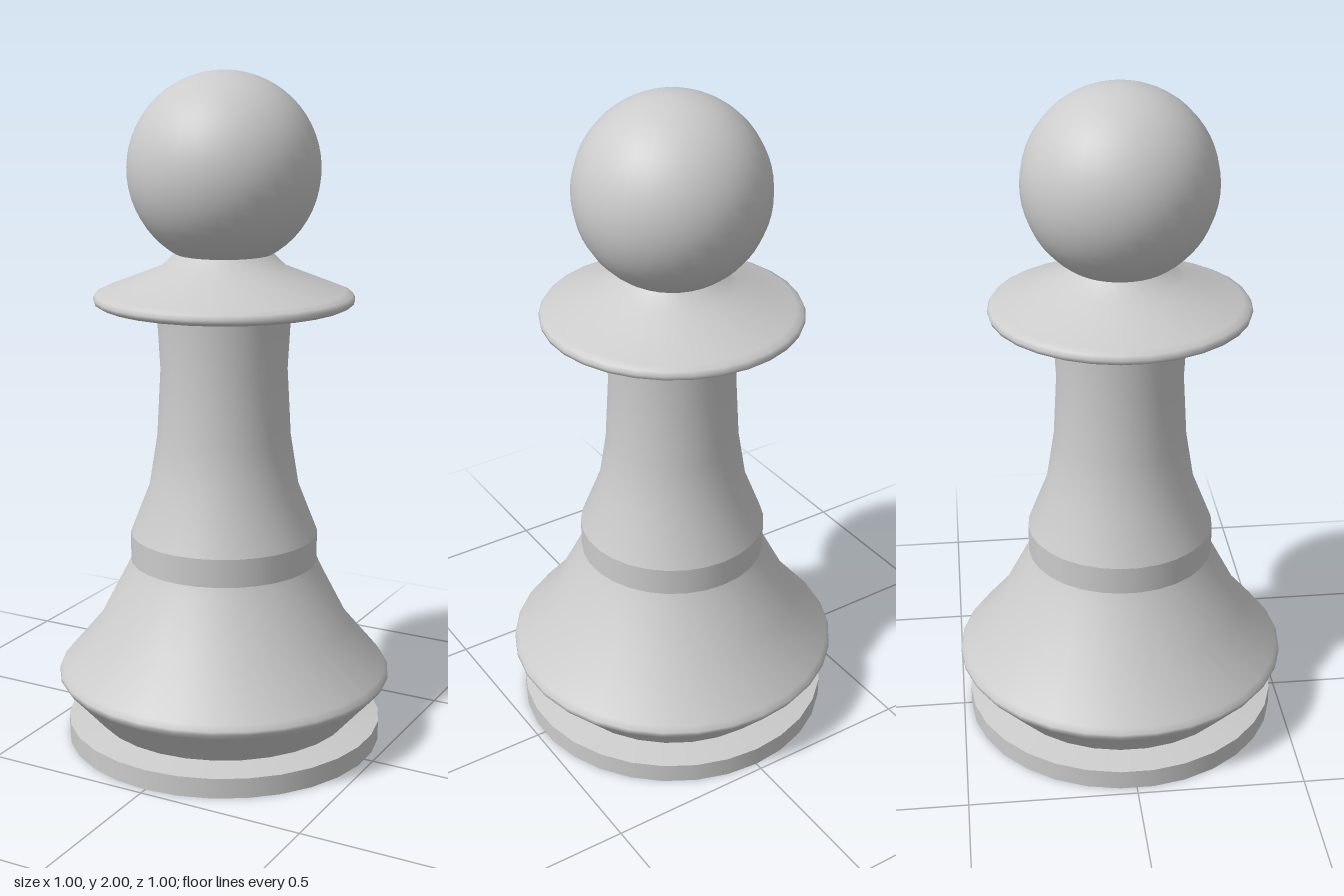
import * as THREE from 'three';

const SIDES = 30;
const material = new THREE.MeshStandardMaterial({ color: 0xcccccc });

// Turned part from [radius, height] pairs, listed bottom to top
function turned(name, profile) {
  const points = profile.map(([r, y]) => new THREE.Vector2(r, y));
  const mesh = new THREE.Mesh(new THREE.LatheGeometry(points, SIDES), material);
  mesh.name = name;
  return mesh;
}

// Ball profile, from the neck joint up to the crown
function ballProfile(radius, centreY, startAngle, steps) {
  const profile = [];
  for (let i = 0; i <= steps; i++) {
    const a = THREE.MathUtils.lerp(startAngle, Math.PI / 2, i / steps);
    profile.push([i === steps ? 0 : radius * Math.cos(a), centreY + radius * Math.sin(a)]);
  }
  return profile;
}

export function createModel() {
  const group = new THREE.Group();
  group.name = 'pawn';

  group.add(
    // Foot disc, split at its sharp edges
    turned('footUnderside', [[0, 0], [0.476, 0]]),
    turned('footRim', [[0.476, 0], [0.476, 0.06]]),
    turned('footTop', [[0.476, 0.06], [0.39, 0.075]]),

    // Flared body with a softly rounded widest edge
    turned('flaredBody', [
      [0.39, 0.075], [0.475, 0.17], [0.492, 0.188], [0.502, 0.203],
      [0.501, 0.213], [0.49, 0.229], [0.38, 0.36], [0.295, 0.525], [0.28, 0.558],
    ]),

    // Straight band between body and stem
    turned('band', [[0.28, 0.558], [0.28, 0.642]]),

    // Waisted stem
    turned('stem', [
      [0.28, 0.642], [0.222, 0.79], [0.198, 0.94], [0.187, 1.14], [0.196, 1.305],
    ]),

    // Collar: underside, rounded lip, sloping top and neck
    turned('collarUnderside', [[0.196, 1.305], [0.365, 1.334]]),
    turned('collarTop', [
      [0.365, 1.334], [0.378, 1.341], [0.381, 1.352], [0.375, 1.364],
      [0.355, 1.373], [0.185, 1.44], [0.138, 1.485],
    ]),

    // Ball head
    turned('head', ballProfile(0.279, 1.721, -1.08, 24)),
  );
  return group;
}
